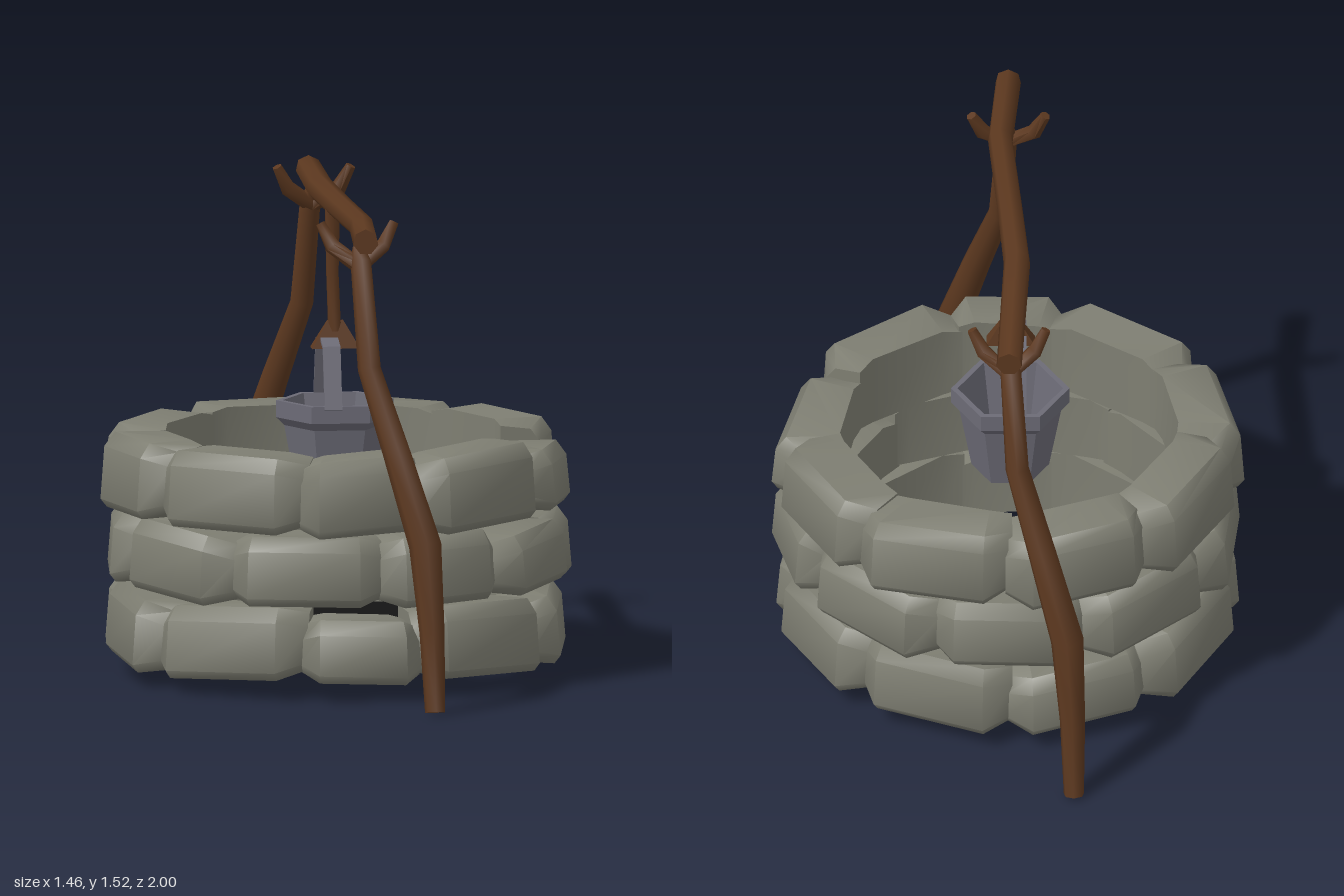
import * as THREE from 'three';
import { toCreasedNormals } from 'three/addons/utils/BufferGeometryUtils.js';

const mat = (name, color, side = THREE.FrontSide) => {
  const m = new THREE.MeshStandardMaterial({ color, side });
  m.name = name;
  return m;
};

// Skin closed rings of points (all with the same count) and cap both ends
function loft(rings, crease) {
  const n = rings[0].length, idx = [];
  for (let i = 0; i < rings.length - 1; i++)
    for (let j = 0; j < n; j++) {
      const k = (j + 1) % n, a = i * n + j, b = i * n + k;
      idx.push(a, a + n, b + n, a, b + n, b);
    }
  const e = (rings.length - 1) * n;
  for (let j = 1; j < n - 1; j++) idx.push(0, j, j + 1, e, e + j + 1, e + j);
  const g = new THREE.BufferGeometry();
  g.setAttribute('position', new THREE.Float32BufferAttribute(rings.flat().flatMap(p => [p.x, p.y, p.z]), 3));
  g.setIndex(idx);
  return toCreasedNormals(g, crease);
}

// Branch of varying thickness: each point is [x, y, z, radius]
function limb(points, sides = 7) {
  const P = points.map(p => new THREE.Vector3(p[0], p[1], p[2]));
  const d0 = P[P.length - 1].clone().sub(P[0]).normalize();
  const ref = Math.abs(d0.x) < 0.8 ? new THREE.Vector3(1, 0, 0) : new THREE.Vector3(0, 0, 1);
  const rings = P.map((p, i) => {
    const d = P[Math.min(i + 1, P.length - 1)].clone().sub(P[Math.max(i - 1, 0)]).normalize();
    const u = ref.clone().cross(d).normalize(), v = d.clone().cross(u);
    return Array.from({ length: sides }, (_, j) => {
      const a = j / sides * Math.PI * 2, r = points[i][3];
      return p.clone().addScaledVector(u, r * Math.cos(a)).addScaledVector(v, -r * Math.sin(a));
    });
  });
  return loft(rings, 1.15);
}

// Curved stone block between two angles (degrees, from the front towards +x)
function stone(a0, a1, y0, y1, jit) {
  const rings = [0, 0.17, 0.83, 1].map((t, i) => {
    const end = i === 0 || i === 3;
    const a = THREE.MathUtils.degToRad(a0 + (a1 - a0) * t);
    const tilt = (t - 0.5) * jit * 0.03;
    const out = (end ? 0.665 : 0.725) + jit * 0.012 * (t < 0.5 ? 1 : -1);
    const inset = end ? 0.025 : 0;
    const profile = [[0.525, y0 + inset * 0.5], [out - 0.02, y0 + inset], [out, y0 + inset + 0.025],
      [out - 0.012, y1 - inset - 0.045], [out - 0.045, y1 - inset], [0.525, y1 - inset * 0.5]];
    return profile.map(([r, y]) => new THREE.Vector3(r * Math.sin(a), y + tilt, r * Math.cos(a)));
  });
  return loft(rings, 0.95);
}

export function createModel() {
  const model = new THREE.Group();
  model.name = 'well';
  const stoneMat = mat('stone', 0x7e7e72);
  const woodMat = mat('wood', 0x5c381f);
  const metalMat = mat('metal', 0x6c6b76, THREE.DoubleSide);
  const waterMat = mat('darkWater', 0x141414, THREE.DoubleSide);
  const add = (parent, name, geo, m) => {
    const mesh = new THREE.Mesh(geo, m);
    mesh.name = name;
    parent.add(mesh);
    return mesh;
  };

  // Three staggered courses of stones
  let seed = 7;
  const rand = () => (seed = (seed * 16807) % 2147483647) / 2147483647 * 2 - 1;
  const even = [-98, -59, -15, 16, 60, 98, 138, 180, 219, 262];
  const odd = [-35, 6, 41, 83, 118, 160, 200, 242, 284, 325];
  const wall = new THREE.Group();
  wall.name = 'stoneWall';
  model.add(wall);
  [
    { cuts: even, y0: 0.06, y1: 0.285, low: { 2: 0.03, 4: 0.015, 7: 0.03 } },
    { cuts: odd, y0: 0.3, y1: 0.515, low: { 2: 0.03 } },
    { cuts: even, y0: 0.525, y1: 0.76, low: { 4: 0.045 } },
  ].forEach(({ cuts, y0, y1, low }) => {
    for (let i = 0; i < 9; i++)
      add(wall, 'stone', stone(cuts[i] - 1, cuts[i + 1] + 1, y0, y1 - (low[i] || 0), rand()), stoneMat);
  });

  // Dark water disc
  const water = new THREE.CircleGeometry(0.35, 9, Math.PI / 2).rotateX(-Math.PI / 2);
  add(model, 'water', water, waterMat).position.y = 0.17;

  // Two forked posts, one turned half round
  for (const turn of [0, Math.PI]) {
    const post = new THREE.Group();
    post.name = turn ? 'backPost' : 'frontPost';
    post.rotation.y = turn;
    add(post, 'trunk', limb([[0.2, 0.01, 0.968, 0.032], [0.196, 0.25, 0.925, 0.04], [0.18, 0.52, 0.88, 0.052],
      [0.1, 0.8, 0.795, 0.044], [0.025, 1.05, 0.71, 0.037], [0.005, 1.38, 0.65, 0.033], [0, 1.42, 0.62, 0.018]]), woodMat);
    for (const s of [-1, 1])
      add(post, 'forkProng', limb([[0, 1.36, 0.645, 0.024], [s * 0.08, 1.42, 0.605, 0.025],
        [s * 0.115, 1.49, 0.59, 0.016]], 6), woodMat);
    model.add(post);
  }

  // Crossbeam resting in the forks
  add(model, 'crossbeam', limb([[0, 1.463, 0.825, 0.04], [0.025, 1.463, 0.5, 0.039], [-0.005, 1.472, 0.1, 0.04],
    [-0.025, 1.48, -0.2, 0.042], [0, 1.462, -0.74, 0.04]]), woodMat);

  // Hanging stick with a flared hook at its lower end
  add(model, 'hangingStick', limb([[-0.015, 1.45, 0.045, 0.025], [-0.015, 1.25, 0.045, 0.021],
    [-0.008, 1.07, 0.045, 0.022]], 6), woodMat);
  const hook = new THREE.CylinderGeometry(0.035, 0.106, 0.085, 4).rotateY(Math.PI / 4);
  hook.scale(1, 1, 0.38);
  add(model, 'hook', toCreasedNormals(hook, 0.4), woodMat).position.set(-0.006, 1.06, 0.045);

  // Six-sided bucket with a rim band
  const bucket = new THREE.Group();
  bucket.name = 'bucket';
  bucket.position.set(-0.005, 0, 0.027);
  model.add(bucket);
  const profile = [[0, 0.57], [0.12, 0.57], [0.158, 0.775], [0.183, 0.8], [0.183, 0.853],
    [0.163, 0.853], [0.112, 0.59], [0, 0.59]].map(p => new THREE.Vector2(...p));
  add(bucket, 'pail', toCreasedNormals(new THREE.LatheGeometry(profile, 6, Math.PI / 2), 0.5), metalMat);

  // Flat strap handle
  const strap = [[0.157, 0.84], [0.105, 1.03], [0.02, 1.052], [-0.09, 1.03], [-0.152, 0.84]];
  const handle = loft(strap.map(([z, y]) => {
    const s = 0.004;
    return [[-0.05, s], [0.005, s], [0.005, -s], [-0.05, -s]].map(([x, o]) =>
      new THREE.Vector3(x, y + o, z + Math.sign(z) * o));
  }), 0.4);
  add(bucket, 'handle', handle, metalMat);

  return model;
}
